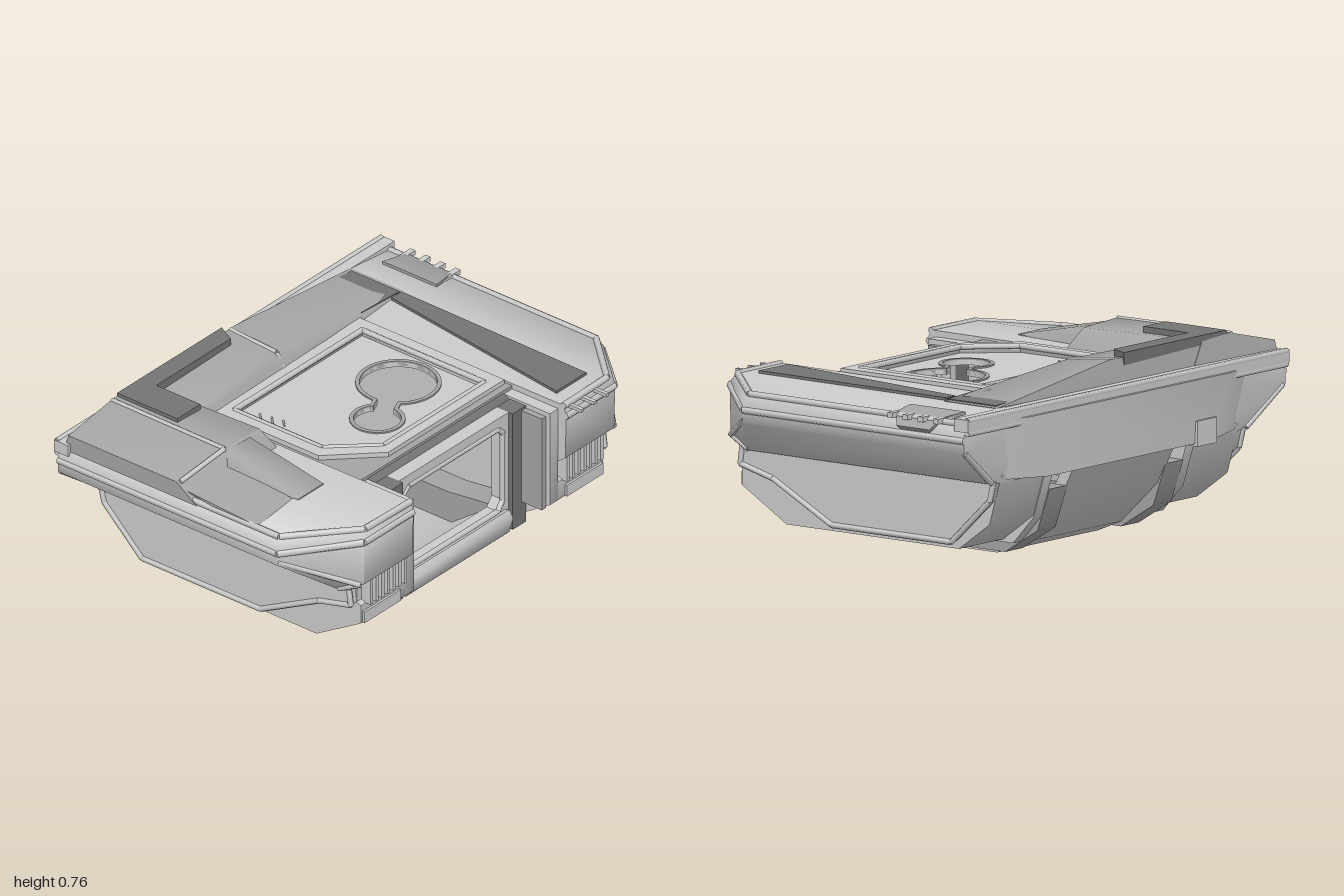
import * as THREE from 'three';
import { ConvexGeometry } from 'three/addons/geometries/ConvexGeometry.js';
import { toCreasedNormals } from 'three/addons/utils/BufferGeometryUtils.js';

const V = (p) => new THREE.Vector3(...p);
const V2 = (pts) => pts.map(([a, b]) => new THREE.Vector2(a, b));

export function createModel() {
  const root = new THREE.Group();
  const paint = (color) => new THREE.MeshStandardMaterial({ color, side: THREE.DoubleSide });
  const grey = paint(0xcccccc), mid = paint(0xa4a4a4), dark = paint(0x747474);

  function add(geo, name, mat = grey) {
    const m = new THREE.Mesh(geo, mat);
    m.name = name;
    root.add(m);
    return m;
  }
  // Axis-aligned block given by its limits; x limits may come in either order
  const box = (name, xa, xb, y0, y1, z0, z1, mat) =>
    add(new THREE.BoxGeometry(Math.abs(xb - xa), y1 - y0, z1 - z0), name, mat)
      .position.set((xa + xb) / 2, (y0 + y1) / 2, (z0 + z1) / 2);
  // Solid around corner points, softened over shallow edges; s mirrors it in x
  const hull = (name, pts, s = 1, mat = grey) =>
    add(toCreasedNormals(new ConvexGeometry(pts.map(([x, y, z]) => new THREE.Vector3(s * x, y, z))), 1.1), name, mat);
  // (z, y) profile extruded between two x positions
  function side(name, pts, xa, xb, mat) {
    const g = new THREE.ExtrudeGeometry(new THREE.Shape(V2(pts)), { depth: Math.abs(xb - xa), bevelEnabled: false });
    g.rotateY(-Math.PI / 2).translate(Math.max(xa, xb), 0, 0);
    add(toCreasedNormals(g, 1.1), name, mat);
  }
  // (x, z) plan extruded downward from a top height
  function plan(name, shape, top, depth, mat) {
    const g = new THREE.ExtrudeGeometry(shape, { depth, bevelEnabled: false, curveSegments: 24 });
    g.rotateX(Math.PI / 2).translate(0, top, 0);
    add(g, name, mat);
  }
  // Thin trim running along a list of points
  function trim(name, pts, r, s = 1) {
    for (let i = 0; i + 1 < pts.length; i++) {
      const a = V(pts[i]), b = V(pts[i + 1]);
      a.x *= s; b.x *= s;
      const m = add(new THREE.CylinderGeometry(r, r, a.distanceTo(b), 6), name);
      m.position.copy(a).add(b).multiplyScalar(0.5);
      m.quaternion.setFromUnitVectors(new THREE.Vector3(0, 1, 0), b.sub(a).normalize());
    }
  }

  const lower = [[0.6, 0.43], [0.6, 0.31], [0.62, 0.3], [0.62, 0.22], [0.4, 0.09], [-0.45, 0.09], [-0.6, 0.2], [-0.66, 0.4]];
  const panel = [[0.59, 0.38], [0.6, 0.31], [0.44, 0.27], [0.15, 0.12], [-0.44, 0.12], [-0.63, 0.3], [-0.65, 0.38]];
  const wall = [[0.62, 0.63], [0.62, 0.22], [0.4, 0.08], [-0.5, 0.08], [-0.6, 0.19], [-0.66, 0.38], [-0.66, 0.63]];
  const keel = [[0.45, 0.2], [0.45, 0.1], [0.25, 0.03], [-0.42, 0.03], [-0.58, 0.13], [-0.64, 0.3], [-0.56, 0.3], [-0.42, 0.17], [0.2, 0.17]];

  for (const s of [1, -1]) {
    // Upper sponson with chamfered front corner and overhanging flank
    hull('sponson', [
      [0.46, 0.65, -0.67], [0.72, 0.655, -0.67], [0.96, 0.63, -0.67],
      [0.96, 0.63, 0.4], [0.73, 0.655, 0.645], [0.46, 0.655, 0.645],
      [0.985, 0.59, -0.68], [0.985, 0.59, 0.41], [0.985, 0.52, 0.41], [0.985, 0.52, -0.68],
      [0.755, 0.62, 0.66], [0.46, 0.62, 0.66], [0.755, 0.42, 0.655], [0.46, 0.42, 0.655],
      [0.78, 0.37, 0.55], [0.46, 0.38, 0.6], [0.78, 0.37, -0.65], [0.46, 0.37, -0.66],
    ], s);
    trim('sponsonTopTrim', [[0.46, 0.652, 0.645], [0.73, 0.652, 0.64], [0.955, 0.63, 0.4], [0.955, 0.63, -0.66]], 0.014, s);
    trim('sponsonBeltTrim', [[0.46, 0.61, 0.655], [0.755, 0.61, 0.655], [0.98, 0.57, 0.41], [0.98, 0.57, -0.68]], 0.016, s);
    trim('flankTrim', [[0.78, 0.375, 0.55], [0.765, 0.42, 0.645], [0.975, 0.53, 0.41]], 0.012, s);
    trim('flankTailTrim', [[0.78, 0.375, -0.65], [0.975, 0.52, -0.675]], 0.012, s);

    // Lower hull with a raised flank panel
    side('lowerHull', lower, s * 0.46, s * 0.73);
    side('flankPanel', panel, s * 0.73, s * 0.765);
    trim('flankPanelTrim', panel.map(([z, y]) => [0.765, y, z]), 0.012, s);

    // Front grille
    for (let i = 0; i < 7; i++) {
      const x = s * (0.49 + i * 0.034);
      box('grilleFin', x - 0.008, x + 0.008, 0.3, 0.42, 0.59, 0.645);
    }
    box('frontPod', s * 0.5, s * 0.72, 0.22, 0.27, 0.58, 0.63);

    // Cabin walls, door posts and keels
    side('cabinWall', wall, s * 0.41, s * 0.46);
    side('keel', keel, s * 0.3, s * 0.41, mid);
    box('doorPost', s * 0.33, s * 0.41, 0.1, 0.62, 0.42, 0.5, dark);
    box('doorPostStep', s * 0.385, s * 0.41, 0.2, 0.61, 0.48, 0.6, mid);
  }

  // Belly tub: a bent plate with a front lip
  side('bellyTub', [
    [0.5, 0.2], [0.52, 0.17], [0.5, 0.1], [0.23, 0], [-0.3, 0], [-0.42, 0.05], [-0.6, 0.22], [-0.68, 0.38],
    [-0.64, 0.4], [-0.56, 0.25], [-0.4, 0.1], [-0.28, 0.04], [0.22, 0.04], [0.4, 0.17],
  ], -0.31, 0.31);

  // Door surround
  const doorway = [[-0.3, 0.24], [-0.27, 0.2], [0.27, 0.2], [0.3, 0.24], [0.3, 0.54], [0.27, 0.57], [-0.27, 0.57], [-0.3, 0.54]];
  const door = new THREE.Shape(V2([[-0.33, 0.15], [0.33, 0.15], [0.33, 0.62], [-0.33, 0.62]]));
  door.holes.push(new THREE.Path(V2(doorway)));
  add(new THREE.ExtrudeGeometry(door, { depth: 0.06, bevelEnabled: false }).translate(0, 0, 0.42), 'doorSurround');
  trim('doorTrim', [...doorway, doorway[0]].map(([x, y]) => [x, y, 0.475]), 0.012);
  hull('doorBrow', [-0.41, 0.41].flatMap((x) => [[x, 0.645, 0.37], [x, 0.6, 0.45], [x, 0.58, 0.45], [x, 0.58, 0.37]]), 1, dark);

  // Rear wall, bowed plate and rim
  box('rearWall', -0.46, 0.46, 0.37, 0.62, -0.68, -0.64, mid);
  box('cabinLocker', 0, 0.29, 0.42, 0.6, -0.645, -0.62, dark);
  hull('rearPlate', [-1, 1].flatMap((s) => [
    [s * 0.62, 0.62, -0.713], [s * 0.5, 0.37, -0.705], [s * 0.78, 0.62, -0.67], [s * 0.7, 0.38, -0.66],
  ]));
  box('rearStep', -0.52, -0.4, 0.36, 0.46, -0.718, -0.66);
  box('rearRim', -0.985, 0.985, 0.605, 0.655, -0.7, -0.63);
  for (const y of [0.65, 0.6]) trim('rearRimTrim', [[-0.98, y, -0.69], [0.98, y, -0.69]], 0.013);

  // Roof deck around the hatch opening
  const opening = [[-0.38, -0.3], [0.39, -0.3], [0.39, 0.31], [-0.22, 0.31], [-0.38, 0.14]];
  const deck = new THREE.Shape(V2([[-0.46, -0.66], [0.46, -0.66], [0.46, 0.39], [-0.46, 0.39]]));
  deck.holes.push(new THREE.Path(V2(opening)));
  plan('roofDeck', deck, 0.645, 0.04, mid);
  const frame = new THREE.Shape(V2([[-0.44, -0.36], [0.45, -0.36], [0.45, 0.36], [-0.25, 0.36], [-0.44, 0.17]]));
  frame.holes.push(new THREE.Path(V2(opening)));
  plan('hatchFrame', frame, 0.665, 0.03);
  trim('hatchFrameTrim', [...opening, opening[0]].map(([x, z]) => [x, 0.66, z]), 0.012);

  // Hatch plate with two joined round holes
  const neck = Math.atan2(0.11, -0.26);
  function keyhole(path, grow) {
    const R = 0.15 + grow, r = 0.092 + grow, h = 0.04 + grow;
    const a = Math.asin(h / R), b = Math.asin(h / r);
    path.absarc(0.21, 0.03, R, neck + a, neck - a + 2 * Math.PI, false);
    path.absarc(-0.05, 0.14, r, neck + Math.PI + b, neck + 3 * Math.PI - b, false);
    path.closePath();
    return path;
  }
  const plate = new THREE.Shape(V2(opening));
  plate.holes.push(keyhole(new THREE.Path(), 0));
  plan('hatchPlate', plate, 0.635, 0.02);
  const collar = keyhole(new THREE.Shape(), 0.016);
  collar.holes.push(keyhole(new THREE.Path(), 0));
  plan('hatchCollar', collar, 0.641, 0.02, mid);
  for (let i = 0; i < 3; i++) trim('hatchSlot', [[-0.36 + i * 0.02, 0.637, -0.18 + i * 0.04], [-0.31 + i * 0.01, 0.637, -0.23 + i * 0.05]], 0.004);

  // Raised rear roof, falling away to one side, with panels on top
  hull('rearRoof', [
    [-0.72, 0.73, -0.62], [0, 0.745, -0.61], [0, 0.72, -0.39], [-0.15, 0.7, -0.36], [-0.72, 0.7, -0.35],
    [0.72, 0.657, -0.63], [0.72, 0.657, -0.37], [-0.95, 0.64, -0.64], [-0.75, 0.64, -0.33], [0.7, 0.63, -0.35],
    [0.45, 0.675, -0.62], [0.45, 0.67, -0.38],
  ], 1, mid);
  plan('roofLedge', new THREE.Shape(V2([[-0.7, -0.62], [-0.07, -0.62], [-0.11, -0.54], [-0.56, -0.54], [-0.56, -0.32], [-0.7, -0.32]])), 0.763, 0.07, dark);
  trim('roofRib', [[-0.03, 0.738, -0.61], [-0.02, 0.715, -0.39], [-0.02, 0.65, -0.35]], 0.012);
  hull('roofPanel', [0.64, 0.66].flatMap((y) => [
    [0.47, y + 0.02, -0.61], [0.47, y + 0.015, -0.37], [0.7, y + 0.003, -0.61], [0.7, y + 0.003, -0.37],
  ]), 1, dark);

  // Raised side housing with stepped front
  hull('sideHousing', [
    [-0.72, 0.745, -0.06], [-0.52, 0.735, -0.06], [-0.72, 0.75, -0.62], [-0.55, 0.74, -0.62],
    [-0.97, 0.69, -0.1], [-0.97, 0.69, -0.64], [-0.97, 0.62, 0], [-0.97, 0.62, -0.66],
    [-0.47, 0.64, 0], [-0.47, 0.64, -0.64],
  ], 1, mid);
  trim('sideHousingTrim', [[-0.73, 0.745, -0.62], [-0.73, 0.742, -0.06], [-0.96, 0.69, -0.09]], 0.01);
  hull('sideHousingFront', [
    [-0.72, 0.735, -0.05], [-0.59, 0.735, -0.05], [-0.73, 0.66, 0.31], [-0.58, 0.66, 0.31],
    [-0.78, 0.64, -0.05], [-0.54, 0.64, -0.05], [-0.73, 0.64, 0.31], [-0.58, 0.64, 0.31],
  ], 1, mid);
  hull('sideHousingStep', [
    [-0.96, 0.665, -0.1], [-0.74, 0.69, -0.1], [-0.96, 0.64, 0.28], [-0.74, 0.66, 0.28], [-0.96, 0.61, 0.3], [-0.74, 0.62, 0.3],
  ], 1, mid);

  // Inset strip and prongs on the opposite sponson
  hull('sponsonStrip', [0.64, 0.666].flatMap((y) => [[0.64, y, -0.36], [0.7, y, -0.36], [0.51, y, 0.57], [0.69, y, 0.57]]), 1, dark);
  for (const x of [0.49, 0.565, 0.64]) box('prong', x - 0.008, x + 0.008, 0.638, 0.652, 0.6, 0.718);

  // Flank clamp with small teeth
  hull('flankClamp', [
    [0.84, 0.655, -0.3], [0.84, 0.655, -0.57], [0.95, 0.645, -0.32], [0.95, 0.645, -0.55], [1, 0.6, -0.36], [1, 0.6, -0.52],
    [0.96, 0.56, -0.38], [0.96, 0.56, -0.5], [0.84, 0.6, -0.3], [0.84, 0.6, -0.57],
  ], 1, mid);
  for (let i = 0; i < 4; i++) box('clampTooth', 0.86, 0.995, 0.625, 0.645, -0.56 + i * 0.075, -0.535 + i * 0.075);

  return root;
}
